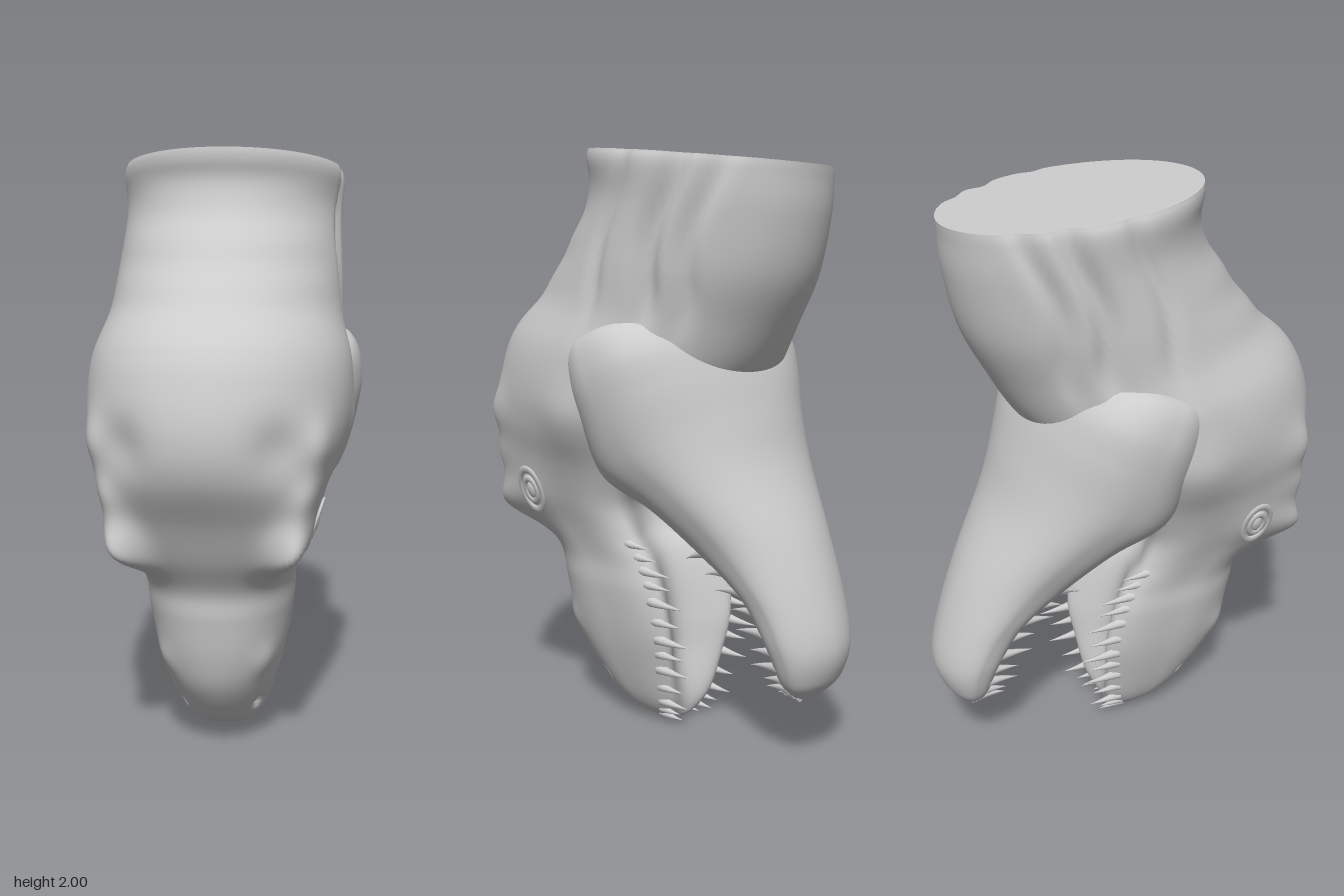
import * as THREE from 'three';

const material = new THREE.MeshStandardMaterial({ color: 0xcccccc });
const COLS = 128;

// Cross-sections: [front z, front y, back z, back y, half width, mouth-side squareness, mouth hollow, outer squareness]
const SKULL = [
  [0.26, 2.0, -0.59, 1.91, 0.372, 2, 0, 2],
  [0.262, 1.96, -0.588, 1.87, 0.382, 2, 0, 2],
  [0.26, 1.84, -0.58, 1.75, 0.375, 2, 0, 2],
  [0.38, 1.66, -0.54, 1.57, 0.385, 2, 0, 2],
  [0.5, 1.52, -0.46, 1.41, 0.395, 2, 0, 2],
  [0.63, 1.4, -0.36, 1.25, 0.428, 2.1, 0, 2],
  [0.69, 1.27, -0.24, 1.1, 0.428, 2.3, 0.05, 2],
  [0.715, 1.13, -0.14, 1.0, 0.405, 2.6, 0.12, 2],
  [0.69, 1.0, -0.07, 0.9, 0.365, 3, 0.25, 2.1],
  [0.6, 0.85, -0.02, 0.79, 0.318, 3.4, 0.4, 2.3],
  [0.53, 0.72, -0.05, 0.69, 0.277, 3.5, 0.5, 2.4],
  [0.455, 0.6, -0.11, 0.6, 0.25, 3.5, 0.5, 2.3],
  [0.44, 0.5, -0.15, 0.5, 0.243, 3.5, 0.5, 2.2],
  [0.41, 0.35, -0.17, 0.36, 0.22, 3.5, 0.5, 2.2],
  [0.36, 0.23, -0.155, 0.24, 0.19, 3.3, 0.45, 2.1],
  [0.25, 0.1, -0.125, 0.1, 0.143, 3, 0.3, 2],
  [0.14, 0.04, -0.085, 0.03, 0.097, 2.5, 0.15, 2],
  [0.03, 0.012, -0.05, 0.006, 0.035, 2, 0, 2],
];
const JAW = [
  [0.2, 1.36, -0.1, 1.46, 0.3, 2, 0, 2.4],
  [0.24, 1.27, -0.19, 1.46, 0.42, 2, 0, 2.8],
  [0.22, 1.14, -0.29, 1.39, 0.457, 2, 0, 2.8],
  [0.16, 1.0, -0.36, 1.28, 0.442, 2.2, 0.1, 2.4],
  [0.08, 0.87, -0.42, 1.13, 0.4, 2.6, 0.35, 2.1],
  [-0.11, 0.79, -0.48, 0.97, 0.33, 3, 0.55, 2],
  [-0.27, 0.67, -0.6, 0.75, 0.245, 3.3, 0.6, 1.9],
  [-0.42, 0.55, -0.68, 0.55, 0.197, 3.3, 0.55, 1.8],
  [-0.51, 0.4, -0.715, 0.4, 0.168, 3.2, 0.45, 1.8],
  [-0.545, 0.29, -0.69, 0.295, 0.132, 2.8, 0.3, 1.9],
  [-0.57, 0.24, -0.645, 0.24, 0.085, 2.3, 0.1, 2],
  [-0.595, 0.217, -0.615, 0.217, 0.025, 2, 0, 2],
];

// Soft swellings and dents, mirrored: [x, y, z, radius, push x, push y, push z]
const BUMPS = [
  [0.28, 0.78, 0.47, 0.085, 0.035, -0.02, 0.11], // brow knob
  [0.24, 0.71, 0.45, 0.07, 0.015, 0, 0.07],      // lower brow edge
  [0.31, 0.93, 0.48, 0.09, 0.01, 0, 0.06],       // brow ridge
  [0.33, 1.1, 0.48, 0.08, 0.01, 0, 0.045],
  [0.31, 0.82, 0.36, 0.1, 0.015, 0, 0],          // eye socket
  [0.21, 1.1, 0.6, 0.08, -0.01, 0, -0.03],       // hollow inside the brow
  [0.38, 1.1, 0.08, 0.13, 0.03, 0, 0],           // cheek muscle
  [0.19, 0.33, 0.34, 0.06, 0.012, 0, 0.012],     // snout ridge
  [0.13, 0.15, 0.2, 0.022, -0.02, 0.01, -0.015], // nostril
];

// Grooves slanting down the neck sides: [position, width, depth]
const FOLDS = [[-0.05, 0.03, 0.05], [-0.25, 0.04, 0.1], [-0.37, 0.035, 0.08]];

function rowAt(rows, t) {
  const i = Math.min(Math.floor(t), rows.length - 2), f = t - i;
  const p = (k) => rows[Math.max(0, Math.min(rows.length - 1, k))];
  const [a, b, c, d] = [p(i - 1), p(i), p(i + 1), p(i + 2)];
  return b.map((_, k) => 0.5 * (2 * b[k] + (c[k] - a[k]) * f
    + (2 * a[k] - 5 * b[k] + 4 * c[k] - d[k]) * f * f
    + (3 * b[k] - a[k] - 3 * c[k] + d[k]) * f * f * f));
}

// Point on a part; mouth is +1 when the mouth is on its front, -1 when on its back
function surfacePoint(rows, mouth, t, angle, deform) {
  const [fz, fy, bz, by, w, inner, hollow, outer] = rowAt(rows, t);
  const c = Math.cos(angle), s = Math.sin(angle);
  const n = c * mouth > 0 ? inner : outer;
  const r = (Math.abs(c) ** n + Math.abs(s) ** n) ** (-1 / n);
  const u = r * s;
  let v = r * c;
  if (c * mouth > 0) v *= 1 - hollow * Math.max(0, 1 - (u / 0.8) ** 2) ** 1.5;
  const p = new THREE.Vector3(u * w, (fy + by) / 2 + v * (fy - by) / 2, (fz + bz) / 2 + v * (fz - bz) / 2);
  return deform ? deform(p) : p;
}

function shapeSkull(p) {
  const side = Math.sign(p.x), q = p.clone();
  for (const [x, y, z, r, dx, dy, dz] of BUMPS) {
    const d2 = (Math.abs(p.x) - x) ** 2 + (p.y - y) ** 2 + (p.z - z) ** 2;
    const g = Math.exp(-d2 / (r * r));
    q.x += side * dx * g; q.y += dy * g; q.z += dz * g;
  }
  // Neck folds and faint wrinkles across its front
  const neck = THREE.MathUtils.smoothstep(p.y, 1.3, 1.55);
  const slant = p.z + 0.3 * (p.y - 1.7) + 0.015 * Math.sin(p.y * 14);
  for (const [at, width, depth] of FOLDS) q.x *= 1 - depth * neck * Math.exp(-(((slant - at) / width) ** 2));
  if (p.z > 0) q.z += 0.003 * neck * Math.min(1, p.z * 5) * Math.sin(p.y * 45);
  return q;
}

function loft(rows, mouth, steps, deform) {
  const pos = [], idx = [];
  const last = rows.length - 1, total = last * steps;
  for (let i = 0; i <= total; i++) {
    for (let j = 0; j < COLS; j++) {
      pos.push(...surfacePoint(rows, mouth, i / steps, j / COLS * Math.PI * 2, deform).toArray());
      if (i === total) continue;
      const a = i * COLS + j, d = i * COLS + (j + 1) % COLS;
      idx.push(a, a + COLS, d + COLS, a, d + COLS, d);
    }
  }
  // Close the lower tip
  const r = rows[last], tip = pos.length / 3;
  pos.push(0, (r[1] + r[3]) / 2 - 0.004, (r[0] + r[2]) / 2);
  for (let j = 0; j < COLS; j++) idx.push(total * COLS + j, tip, total * COLS + (j + 1) % COLS);
  return buildGeometry(pos, idx);
}

// Flat cut at the top of the neck
function neckCap() {
  const pos = [0, 1.957, -0.165], idx = [];
  for (let j = 0; j < COLS; j++) {
    pos.push(...surfacePoint(SKULL, -1, 0, j / COLS * Math.PI * 2, shapeSkull).toArray());
    idx.push(0, j + 1, (j + 1) % COLS + 1);
  }
  return buildGeometry(pos, idx);
}

function buildGeometry(pos, idx) {
  const g = new THREE.BufferGeometry();
  g.setAttribute('position', new THREE.Float32BufferAttribute(pos, 3));
  g.setIndex(idx);
  g.computeVertexNormals();
  return g;
}

function add(parent, name, geometry) {
  const mesh = new THREE.Mesh(geometry, material);
  mesh.name = name;
  parent.add(mesh);
  return mesh;
}

// Curved tooth, base at the origin, pointing along +y
function toothGeometry() {
  const g = new THREE.ConeGeometry(1, 1, 10, 6).translate(0, 0.5, 0);
  const p = g.attributes.position;
  for (let i = 0; i < p.count; i++) p.setZ(i, p.getZ(i) + 0.6 * p.getY(i) ** 2);
  g.computeVertexNormals();
  return g;
}

function toothRow(parent, name, rows, mouth, from, to, count, maxLength, deform) {
  const group = new THREE.Group(), geometry = toothGeometry();
  group.name = name;
  for (const side of [1, -1]) for (let i = 0; i < count; i++) {
    const f = i / (count - 1), t = from + (to - from) * f;
    const [fz, fy, bz, by, , n] = rowAt(rows, t);
    const a = Math.atan2(0.82, (1 - 0.82 ** n) ** (1 / n));
    const dir = new THREE.Vector3(0, fy - by, fz - bz).normalize().multiplyScalar(mouth);
    dir.y -= mouth < 0 ? 0.12 : 0;
    dir.normalize();
    const size = (0.45 + 0.55 * Math.sin(Math.PI * (0.12 + 0.88 * f))) * (i % 2 ? 0.8 : 1.05);
    const tooth = add(group, 'tooth', geometry);
    tooth.position.copy(surfacePoint(rows, mouth, t, side * (mouth > 0 ? a : Math.PI - a), deform));
    tooth.position.addScaledVector(dir, -0.025);
    tooth.quaternion.setFromUnitVectors(new THREE.Vector3(0, 1, 0), dir);
    tooth.scale.set(0.011 + 0.009 * size, maxLength * size + 0.025, 0.011 + 0.009 * size);
  }
  parent.add(group);
}

// Eyeball with two rings of lid folds, laid on the cheek surface
function addEye(parent, side) {
  const eye = new THREE.Group();
  eye.name = side > 0 ? 'leftEye' : 'rightEye';
  add(eye, 'eyeball', new THREE.SphereGeometry(0.024, 24, 16)).scale.set(0.75, 1.4, 0.5);
  [0.036, 0.066].forEach((r, i) => {
    const lid = add(eye, 'eyelid', new THREE.TorusGeometry(r, 0.012, 12, 40));
    lid.scale.set(0.8, 1.2, 0.7 - 0.2 * i);
  });
  const at = (t, a) => surfacePoint(SKULL, -1, t, side * a, shapeSkull);
  const center = at(9.02, 1.35);
  const down = at(9.4, 1.35).sub(at(8.7, 1.35)), back = at(9.02, 1.5).sub(at(9.02, 1.2));
  const normal = down.cross(back).normalize().multiplyScalar(side);
  eye.position.copy(center);
  eye.lookAt(center.clone().add(normal));
  eye.position.addScaledVector(normal, -0.003);
  parent.add(eye);
}

export function createModel() {
  const model = new THREE.Group();
  model.name = 'reptileHead';
  add(model, 'neckAndSkull', loft(SKULL, -1, 10, shapeSkull));
  add(model, 'neckCap', neckCap());
  add(model, 'lowerJaw', loft(JAW, 1, 8));
  toothRow(model, 'upperTeeth', SKULL, -1, 10.3, 16.5, 14, 0.12, shapeSkull);
  toothRow(model, 'lowerTeeth', JAW, 1, 6, 10.2, 11, 0.095);
  for (const side of [1, -1]) addEye(model, side);
  return model;
}
